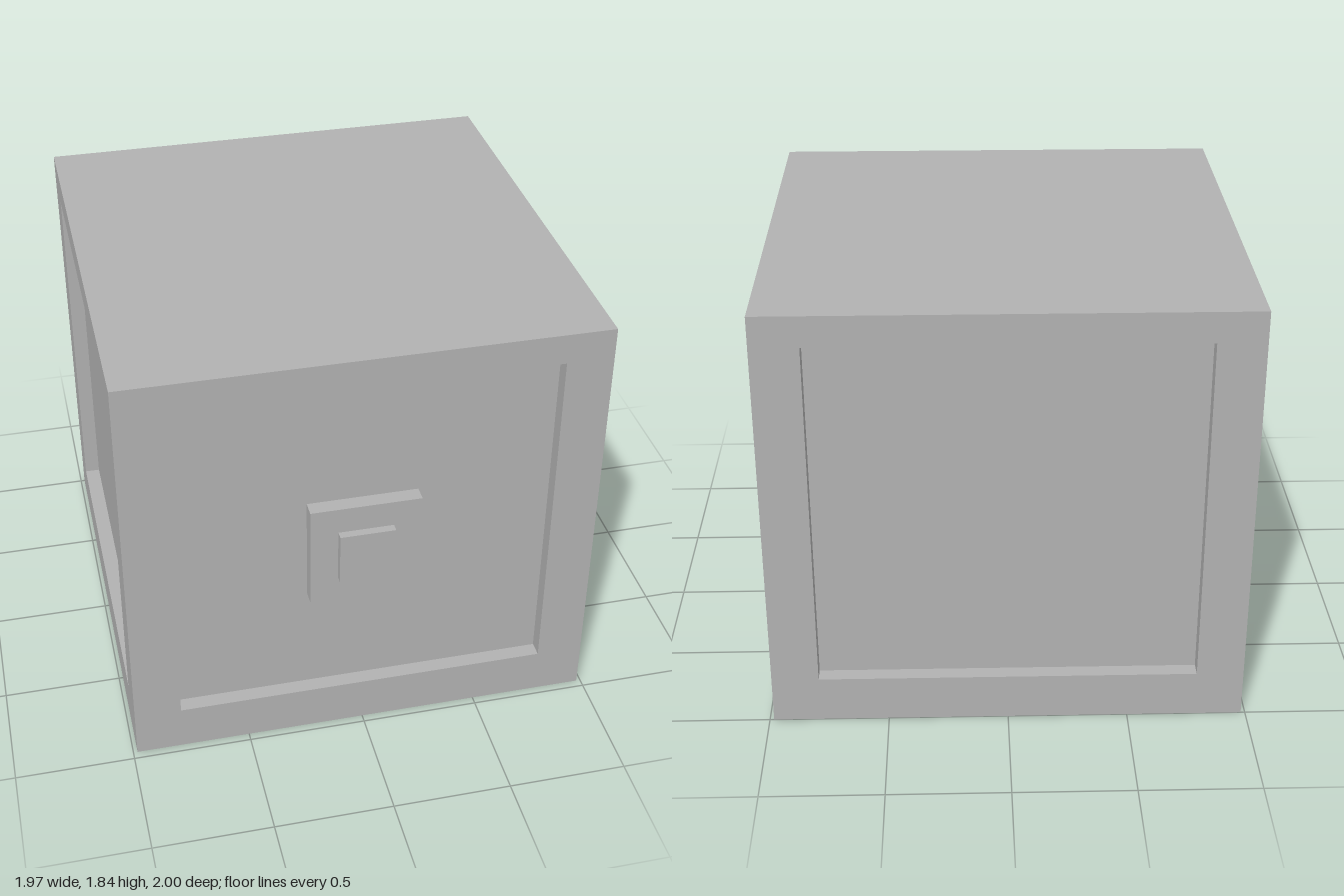
import * as THREE from 'three';
import { mergeGeometries } from 'three/addons/utils/BufferGeometryUtils.js';

const WIDTH = 1.965, HEIGHT = 1.84, CENTRE_Z = -0.0175;
const HALF = WIDTH / 2;
const OPEN = 0.787, LOW = 0.2, HIGH = 1.71, DEPTH = 0.065; // recess in each side

// Counter-clockwise rectangle corners
const rect = (x, y0, y1) => [[-x, y0], [x, y0], [x, y1], [-x, y1]].map(([a, b]) => new THREE.Vector2(a, b));

// One side's border and the inner walls of its recess, facing +z
function frameGeometry() {
  const border = new THREE.Shape(rect(HALF, 0, HEIGHT));
  border.holes.push(new THREE.Path(rect(OPEN, LOW, HIGH).reverse()));
  const parts = [new THREE.ShapeGeometry(border).translate(0, 0, HALF)];
  const z = HALF - DEPTH / 2, midY = (LOW + HIGH) / 2;
  for (const s of [-1, 1]) {
    parts.push(new THREE.PlaneGeometry(DEPTH, HIGH - LOW).rotateY(-s * Math.PI / 2).translate(s * OPEN, midY, z));
    parts.push(new THREE.PlaneGeometry(OPEN * 2, DEPTH).rotateX(s * Math.PI / 2).translate(0, s > 0 ? HIGH : LOW, z));
  }
  return mergeGeometries(parts);
}

export function createModel() {
  const model = new THREE.Group();
  model.name = 'panelledCrate';
  const grey = new THREE.MeshStandardMaterial({ color: 0xb2b2b2 });
  grey.name = 'grey';

  const body = new THREE.Group();
  body.name = 'body';
  body.position.z = CENTRE_Z;
  model.add(body);

  const add = (parent, name, geometry) => {
    const mesh = new THREE.Mesh(geometry, grey);
    mesh.name = name;
    parent.add(mesh);
    return mesh;
  };

  // Four identical recessed sides
  const frame = frameGeometry();
  const panel = new THREE.PlaneGeometry(OPEN * 2, HIGH - LOW).translate(0, (LOW + HIGH) / 2, HALF - DEPTH);
  ['front', 'left', 'back', 'right'].forEach((name, i) => {
    const side = new THREE.Group();
    side.name = name + 'Side';
    side.rotation.y = i * Math.PI / 2;
    add(side, name + 'Frame', frame);
    add(side, name + 'Panel', panel);
    body.add(side);
  });

  // Lid and base
  add(body, 'top', new THREE.PlaneGeometry(WIDTH, WIDTH).rotateX(-Math.PI / 2).translate(0, HEIGHT, 0));
  add(body, 'base', new THREE.PlaneGeometry(WIDTH, WIDTH).rotateX(Math.PI / 2));

  // Stepped latch on the front panel
  const frontZ = HALF + CENTRE_Z;
  add(model, 'latchPlate', new THREE.BoxGeometry(0.46, 0.46, DEPTH)).position.set(0, 0.92, frontZ - DEPTH / 2);
  add(model, 'latchButton', new THREE.BoxGeometry(0.23, 0.23, 0.035)).position.set(0, 0.92, frontZ + 0.0175);

  return model;
}
